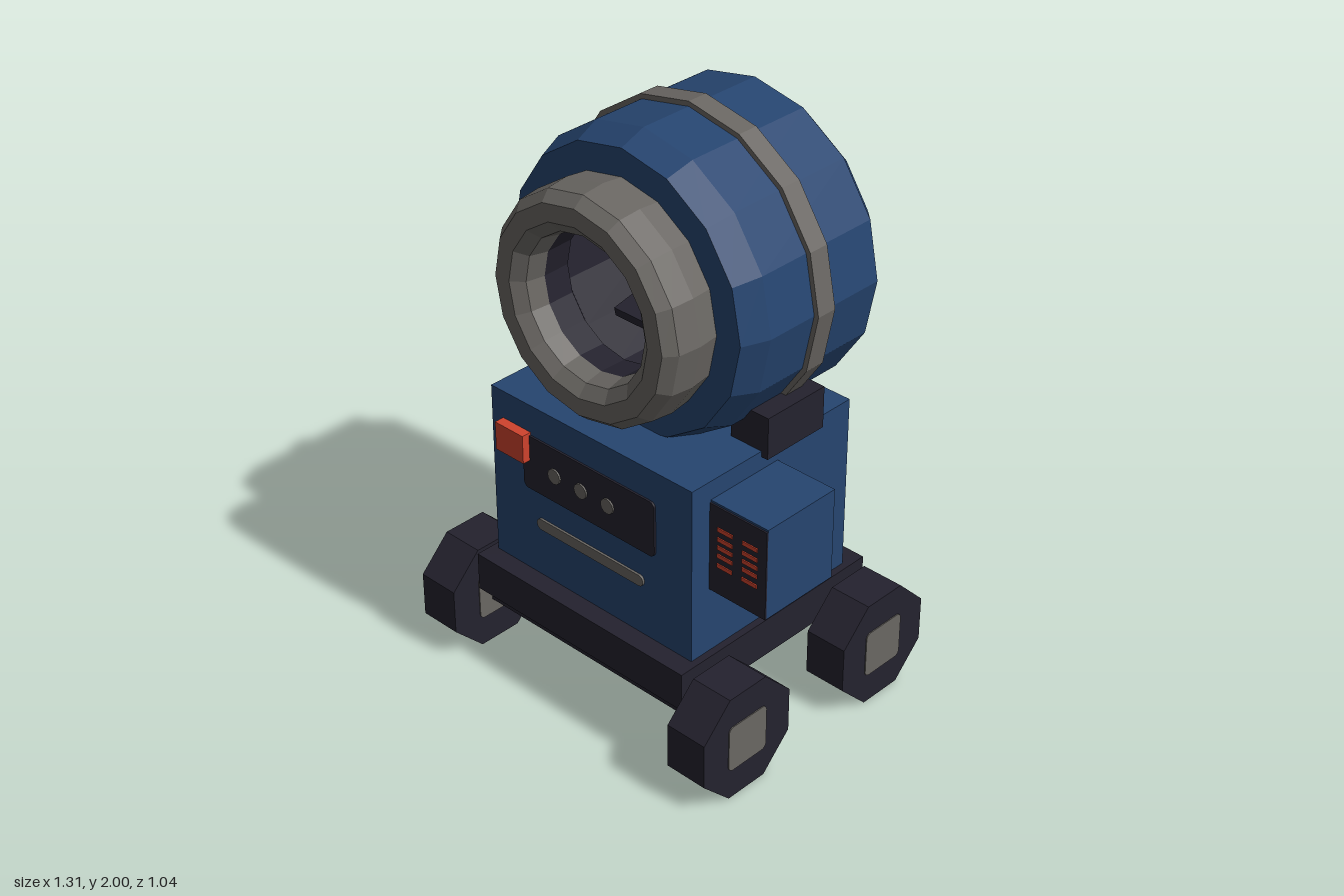
import * as THREE from 'three';

const mat = (name, color) => {
  const m = new THREE.MeshStandardMaterial({ color, flatShading: true });
  m.name = name;
  return m;
};

export function createModel() {
  const blue = mat('blue paint', 0x264570);
  const dark = mat('dark rubber', 0x24222e);
  const grey = mat('grey metal', 0x6a6763);
  const red = mat('red', 0xcf432d);

  const root = new THREE.Group();
  root.name = 'cementMixer';
  const CX = -0.015; // centre line of the machine
  const DRUM_Y = 1.475;

  const add = (name, geo, material, x = 0, y = 0, z = 0) => {
    const m = new THREE.Mesh(geo, material);
    m.name = name;
    m.position.set(x, y, z);
    root.add(m);
    return m;
  };
  // box from its minimum and maximum corners
  const box = (name, material, x0, x1, y0, y1, z0, z1) =>
    add(name, new THREE.BoxGeometry(x1 - x0, y1 - y0, z1 - z0), material,
      (x0 + x1) / 2, (y0 + y1) / 2, (z0 + z1) / 2);
  // faceted ring around the z axis from [radius, z] points
  const lathe = (name, material, pts) => add(name,
    new THREE.LatheGeometry(pts.map(p => new THREE.Vector2(p[0], p[1])), 16).rotateX(Math.PI / 2),
    material, CX, DRUM_Y, 0);
  // thin rounded plate facing +z
  const plate = (name, material, w, h, r, x, y, z, depth = 0.008) => {
    const s = new THREE.Shape();
    const a = w / 2, b = h / 2;
    s.moveTo(-a + r, -b);
    s.lineTo(a - r, -b).absarc(a - r, -b + r, r, -Math.PI / 2, 0, false);
    s.absarc(a - r, b - r, r, 0, Math.PI / 2, false);
    s.absarc(-a + r, b - r, r, Math.PI / 2, Math.PI, false);
    s.absarc(-a + r, -b + r, r, Math.PI, Math.PI * 1.5, false);
    return add(name, new THREE.ExtrudeGeometry(s, { depth, bevelEnabled: false, curveSegments: 4 }),
      material, x, y, z);
  };

  // Wheels with hubs, and axles
  for (const z of [-0.325, 0.325]) {
    for (const side of [-1, 1]) {
      const x = CX + side * 0.563;
      const tyre = new THREE.CylinderGeometry(0.21, 0.21, 0.153, 8)
        .rotateY(Math.PI / 8).rotateZ(Math.PI / 2);
      add('wheel', tyre, dark, x, 0.194, z);
      const hub = plate('wheelHub', grey, 0.17, 0.17, 0.02, x - 0.08, 0.194, z, 0.16);
      hub.rotation.y = Math.PI / 2;
    }
    box('axle', dark, -0.51, 0.48, 0.165, 0.227, z - 0.03, z + 0.03);
  }

  // Chassis and body
  box('chassis', dark, -0.475, 0.445, 0.262, 0.4, -0.43, 0.43);
  box('body', blue, -0.45, 0.42, 0.4, 1.03, -0.355, 0.36);

  // Drum supports
  for (const side of [-1, 1]) {
    const x = CX + side * 0.385;
    box('drumSupport', dark, x - 0.075, x + 0.075, 1.01, 1.157, -0.2, 0.055);
  }

  // Drum shell, hoop, mouth ring and hollow inside
  lathe('drum', blue, [[0, -0.46], [0.42, -0.46], [0.51, -0.37], [0.51, 0.11], [0.475, 0.203], [0.25, 0.203]]);
  lathe('drumHoop', grey, [[0.5, -0.155], [0.527, -0.155], [0.527, -0.08], [0.5, -0.08]]);
  lathe('drumMouth', grey, [[0.38, 0.19], [0.39, 0.28], [0.382, 0.36], [0.35, 0.398],
    [0.29, 0.398], [0.25, 0.365], [0.237, 0.3]]);
  lathe('drumInside', dark, [[0.237, 0.3], [0.24, 0.2], [0.4, 0.08], [0.4, -0.3], [0, -0.3]]);

  // Mixing blades
  for (const side of [-1, 1]) {
    const blade = add('mixingBlade', new THREE.BoxGeometry(0.265, 0.03, 0.3), dark,
      CX + 0.01, DRUM_Y + side * 0.125, -0.03);
    blade.rotation.x = 0.2;
  }

  // Front control panel, knobs, grab bar and button
  plate('controlPanel', dark, 0.575, 0.2, 0.02, -0.0175, 0.82, 0.359);
  for (const x of [-0.162, -0.045, 0.072]) {
    add('knob', new THREE.CylinderGeometry(0.027, 0.027, 0.008, 12).rotateX(Math.PI / 2), grey, x, 0.82, 0.369);
  }
  plate('grabBar', grey, 0.47, 0.04, 0.018, -0.015, 0.603, 0.36);
  box('stopButton', red, -0.4, -0.275, 0.828, 0.93, 0.355, 0.395);

  // Side meter box with dark screen and lit bars
  box('meterBox', blue, 0.415, 0.65, 0.638, 0.963, -0.02, 0.278);
  box('meterScreen', dark, 0.421, 0.65, 0.638, 0.956, 0.278, 0.284);
  for (const x of [0.485, 0.585]) {
    for (const y of [0.745, 0.781, 0.811, 0.841, 0.877]) {
      box('meterBar', red, x - 0.03, x + 0.03, y - 0.007, y + 0.007, 0.284, 0.288);
    }
  }
  return root;
}
